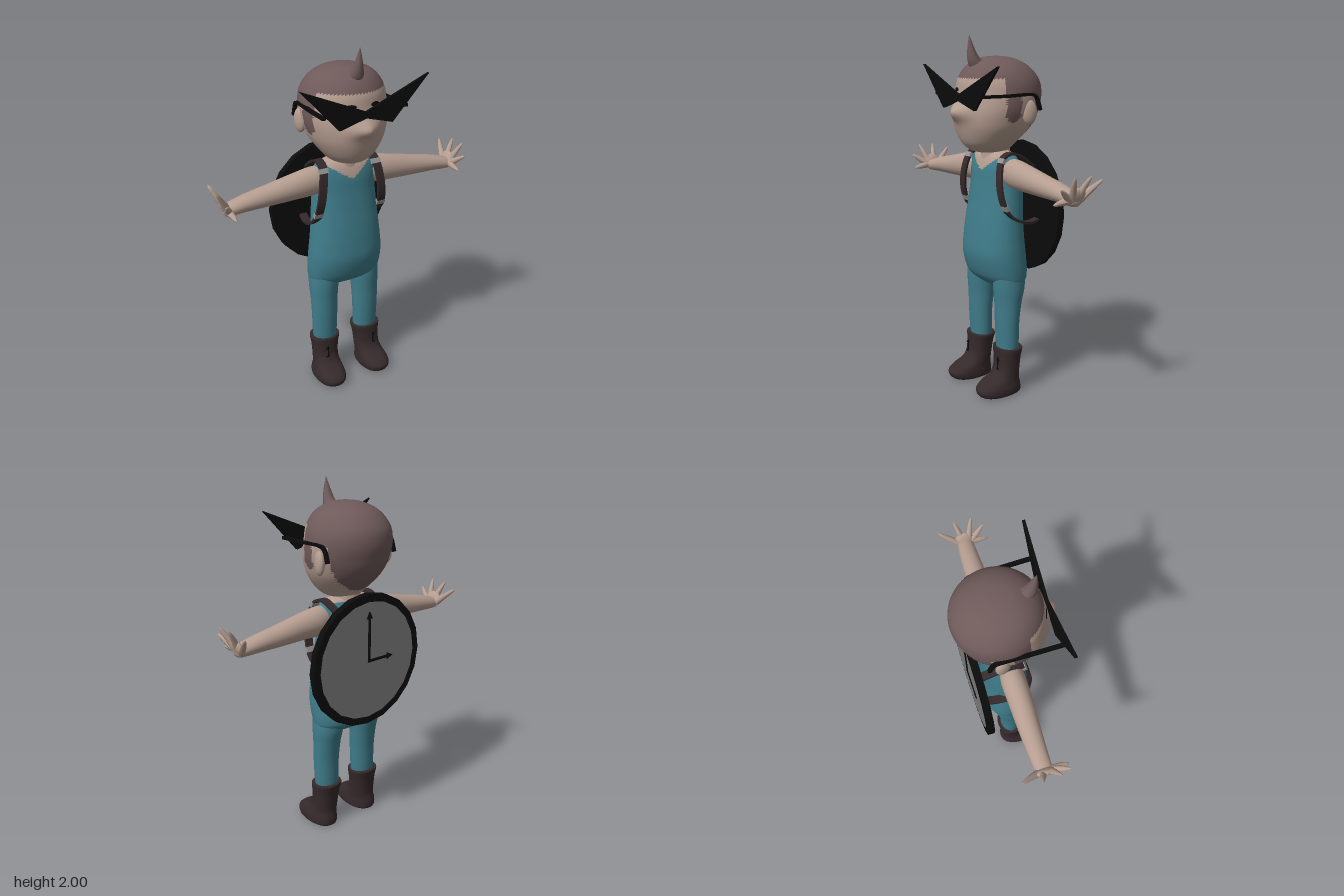
import * as THREE from 'three';

const mat = (name, color, side = THREE.FrontSide) => {
  const m = new THREE.MeshStandardMaterial({ color, side });
  m.name = name;
  return m;
};

// Catmull-Rom value of one column of a table of rows
function sample(rows, t, k) {
  const f = t * (rows.length - 1), i = Math.min(Math.floor(f), rows.length - 2), u = f - i;
  const at = (j) => rows[Math.max(0, Math.min(rows.length - 1, j))][k];
  const a = at(i - 1), b = at(i), c = at(i + 1), d = at(i + 2);
  return b + 0.5 * u * (c - a + u * (2 * a - 5 * b + 4 * c - d + u * (3 * (b - c) + d - a)));
}

// Closed skin over oval sections; rows rise in y: [y, centreX, halfWidth, zFront, zBack].
// paint(x, y, z) picks a material index for each triangle.
function loft(rows, { rings = 36, sides = 36, power = 2, warp, paint } = {}) {
  const pos = [], faces = [];
  const bend = (v) => Math.sign(v) * Math.abs(v) ** (2 / power);
  for (let i = 0; i <= rings; i++) {
    const [y, cx, hw, zf, zb] = [0, 1, 2, 3, 4].map((k) => sample(rows, i / rings, k));
    for (let j = 0; j < sides; j++) {
      const a = (j / sides) * Math.PI * 2;
      const p = [cx + hw * bend(Math.cos(a)), y, (zf + zb) / 2 + ((zf - zb) / 2) * bend(Math.sin(a))];
      if (warp) warp(p);
      pos.push(...p);
    }
  }
  const bottom = pos.length / 3, top = bottom + 1;
  for (const r of [rows[0], rows[rows.length - 1]]) pos.push(r[1], r[0], (r[3] + r[4]) / 2);
  for (let j = 0; j < sides; j++) {
    const n = (j + 1) % sides, last = rings * sides;
    faces.push([bottom, j, n], [top, last + n, last + j]);
    for (let i = 0; i < rings; i++) {
      const a = i * sides + j, b = i * sides + n;
      faces.push([a, a + sides, b], [b, a + sides, b + sides]);
    }
  }
  const buckets = [[], []];
  for (const f of faces) {
    const mid = [0, 1, 2].map((k) => (pos[f[0] * 3 + k] + pos[f[1] * 3 + k] + pos[f[2] * 3 + k]) / 3);
    buckets[paint ? paint(...mid) : 0].push(...f);
  }
  const g = new THREE.BufferGeometry();
  g.setAttribute('position', new THREE.Float32BufferAttribute(pos, 3));
  g.setIndex(buckets.flat());
  if (paint) {
    g.addGroup(0, buckets[0].length, 0);
    g.addGroup(buckets[0].length, buckets[1].length, 1);
  }
  g.computeVertexNormals();
  return g;
}

const curve = (pts) => new THREE.CatmullRomCurve3(pts.map((p) => new THREE.Vector3(...p)));

// Tube narrowing from r0 to almost nothing
function taper(pts, r0, shape = 0.7) {
  const c = curve(pts), seg = 14, rad = 10;
  const g = new THREE.TubeGeometry(c, seg, 1, rad);
  const p = g.attributes.position, v = new THREE.Vector3();
  for (let i = 0; i < p.count; i++) {
    const t = Math.floor(i / (rad + 1)) / seg, o = c.getPointAt(t);
    v.fromBufferAttribute(p, i).sub(o).multiplyScalar(r0 * Math.max(0.02, (1 - t) ** shape)).add(o);
    p.setXYZ(i, v.x, v.y, v.z);
  }
  g.computeVertexNormals();
  return g;
}

// Flat band along a path, its width lying along x
function ribbon(pts, width, thick, seg = 40) {
  const c = curve(pts), pos = [], idx = [], X = new THREE.Vector3(1, 0, 0);
  for (let i = 0; i <= seg; i++) {
    const o = c.getPointAt(i / seg), n = c.getTangentAt(i / seg).cross(X).normalize();
    for (const [a, b] of [[-1, -1], [1, -1], [1, 1], [-1, 1]]) {
      const v = o.clone().addScaledVector(X, (a * width) / 2).addScaledVector(n, (b * thick) / 2);
      pos.push(v.x, v.y, v.z);
    }
  }
  for (let i = 0; i < seg; i++) for (let k = 0; k < 4; k++) {
    const a = i * 4 + k, b = i * 4 + ((k + 1) % 4);
    idx.push(a, b, a + 4, b, b + 4, a + 4);
  }
  const e = seg * 4;
  idx.push(0, 2, 1, 0, 3, 2, e, e + 1, e + 2, e, e + 2, e + 3);
  const g = new THREE.BufferGeometry();
  g.setAttribute('position', new THREE.Float32BufferAttribute(pos, 3));
  g.setIndex(idx);
  const flat = g.toNonIndexed();
  flat.computeVertexNormals();
  return flat;
}

const plate = (pts, depth) => new THREE.ExtrudeGeometry(
  new THREE.Shape(pts.map((p) => new THREE.Vector2(...p))), { depth, bevelEnabled: false });

export function createModel() {
  const skin = mat('skin', 0xb59d90), hair = mat('hair', 0x6f5a5a), teal = mat('overalls', 0x3f7c8a);
  const leather = mat('leather', 0x35292b), black = mat('black', 0x0b0b0b);
  const grey = mat('dial grey', 0x7c7c7c), metal = mat('buckle grey', 0x969696);
  const model = new THREE.Group();
  const add = (parent, name, geo, material, x = 0, y = 0, z = 0) => {
    const m = new THREE.Mesh(geo, material);
    m.name = name;
    m.position.set(x, y, z);
    parent.add(m);
    return m;
  };

  // Head with a soft pointed nose; hair cap with sideburns is painted by faces
  const isHair = (x, y, z) => {
    if (z > 0.065) return y > 1.775 ? 1 : 0;
    if (z > -0.02) return y > 1.54 + Math.abs(z - 0.02) * 0.8 ? 1 : 0;
    if (z > -0.125) return y > 1.69 ? 1 : 0;
    return y > 1.42 ? 1 : 0;
  };
  add(model, 'head', loft([
    [1.375, 0, 0.05, 0.09, -0.03], [1.39, 0, 0.1, 0.14, -0.08], [1.43, 0, 0.145, 0.185, -0.125],
    [1.5, 0, 0.195, 0.215, -0.195], [1.56, 0, 0.22, 0.225, -0.235], [1.62, 0, 0.235, 0.22, -0.255],
    [1.69, 0, 0.237, 0.205, -0.268], [1.76, 0, 0.225, 0.195, -0.258], [1.82, 0, 0.19, 0.165, -0.215],
    [1.86, 0, 0.14, 0.12, -0.16], [1.885, 0, 0.075, 0.06, -0.09], [1.892, 0, 0.015, 0, -0.03],
  ], {
    rings: 72, sides: 72, paint: isHair,
    warp: (p) => {
      if (p[2] > 0) p[2] += 0.05 * Math.max(0, 1 - Math.abs(p[0]) / 0.12) * Math.exp(-(((p[1] - 1.6) / 0.045) ** 2));
    },
  }), [skin, hair]);
  add(model, 'hairTuft', taper([[0, 1.82, 0.085], [0, 1.865, 0.125], [0, 1.92, 0.143], [0, 2, 0.155]], 0.05, 0.9), hair);
  add(model, 'neck', new THREE.CylinderGeometry(0.075, 0.085, 0.12, 28), skin, 0, 1.385, -0.015);

  // Eyewear: one winged plate
  add(model, 'glassesFront', plate([
    [0, 1.692], [-0.37, 1.845], [-0.155, 1.615], [0, 1.658], [0.155, 1.615], [0.37, 1.845],
  ], 0.016), black, 0, 0, 0.213);

  // Torso; skin shows above the V neckline
  add(model, 'torso', loft([
    [0.61, 0, 0.16, 0.03, -0.08], [0.65, 0, 0.21, 0.085, -0.135], [0.7, 0, 0.222, 0.12, -0.155],
    [0.8, 0, 0.222, 0.145, -0.15], [0.9, 0, 0.213, 0.14, -0.14], [1, 0, 0.203, 0.127, -0.135],
    [1.1, 0, 0.195, 0.11, -0.135], [1.2, 0, 0.188, 0.095, -0.13], [1.28, 0, 0.19, 0.085, -0.115],
    [1.335, 0, 0.185, 0.07, -0.095], [1.365, 0, 0.15, 0.055, -0.08], [1.385, 0, 0.08, 0.04, -0.07],
  ], {
    rings: 90, sides: 60, power: 2.2,
    paint: (x, y, z) => ((z > 0 ? y > 1.275 + 0.65 * Math.abs(x) : y > 1.365) ? 1 : 0),
  }), [teal, skin]);

  // Everything paired is built on the model's left and mirrored
  for (const s of [1, -1]) {
    const half = new THREE.Group();
    half.name = s > 0 ? 'leftSide' : 'rightSide';
    half.scale.x = s;
    model.add(half);

    const ear = add(half, 'ear', new THREE.SphereGeometry(1, 18, 14), skin, 0.228, 1.6, -0.075);
    ear.scale.set(0.024, 0.066, 0.042);
    ear.rotation.y = -0.25;
    const eye = add(half, 'eye', new THREE.SphereGeometry(1, 14, 8), black, 0.07, 1.715, 0.19);
    eye.scale.set(0.03, 0.012, 0.005);
    eye.rotation.y = 0.3;
    add(half, 'glassesArm', ribbon([
      [0.24, 1.69, 0.222], [0.238, 1.69, 0.08], [0.234, 1.69, -0.1], [0.23, 1.672, -0.122], [0.23, 1.61, -0.145],
    ], 0.02, 0.016), black);

    // Arm runs along x; the section's width stands upright
    const arm = add(half, 'arm', loft([
      [0.13, -1.277, 0.07, 0.05, -0.065], [0.2, -1.27, 0.08, 0.055, -0.078], [0.3, -1.26, 0.073, 0.055, -0.075],
      [0.45, -1.242, 0.059, 0.048, -0.07], [0.58, -1.228, 0.047, 0.042, -0.063], [0.66, -1.216, 0.038, 0.04, -0.055],
      [0.7, -1.21, 0.03, 0.035, -0.045], [0.715, -1.212, 0.012, 0.015, -0.02],
    ]), skin);
    arm.rotation.z = -Math.PI / 2;
    const palm = add(half, 'palm', new THREE.SphereGeometry(1, 18, 14), skin, 0.7, 1.228, -0.008);
    palm.scale.set(0.022, 0.05, 0.056);
    palm.rotation.z = -0.35;
    const tips = [[0.69, 1.2, 0.128], [0.735, 1.28, 0.118], [0.762, 1.338, 0.055], [0.765, 1.338, -0.045], [0.738, 1.31, -0.145]];
    for (const [x, y, z] of tips) {
      add(half, 'finger', taper([
        [0.695, 1.215, z * 0.25], [0.69 + (x - 0.69) * 0.5, 1.215 + (y - 1.215) * 0.5, z * 0.62], [x, y, z],
      ], 0.021, 0.45), skin);
    }

    // Leg and boot
    add(half, 'leg', loft([
      [0.22, 0.136, 0.07, 0.055, -0.06], [0.3, 0.137, 0.075, 0.06, -0.063], [0.42, 0.137, 0.078, 0.066, -0.066],
      [0.53, 0.136, 0.081, 0.07, -0.082], [0.62, 0.134, 0.086, 0.078, -0.105], [0.7, 0.13, 0.085, 0.08, -0.11],
    ]), teal);
    add(half, 'boot', loft([
      [0, 0.15, 0.075, 0.18, -0.066], [0.012, 0.151, 0.085, 0.198, -0.07], [0.045, 0.151, 0.086, 0.208, -0.068],
      [0.075, 0.148, 0.08, 0.175, -0.062], [0.105, 0.145, 0.076, 0.11, -0.06], [0.15, 0.143, 0.076, 0.08, -0.063],
      [0.21, 0.141, 0.08, 0.074, -0.07], [0.255, 0.139, 0.088, 0.074, -0.08], [0.268, 0.139, 0.087, 0.073, -0.079],
    ], { power: 2.3 }), leather);
    add(half, 'bootSeam', new THREE.BoxGeometry(0.006, 0.09, 0.008), black, 0.155, 0.175, 0.077);
    for (const y of [0.15, 0.205]) add(half, 'bootLace', new THREE.BoxGeometry(0.022, 0.006, 0.008), black, 0.158, y, 0.077);

    // Shoulder strap with two buckles
    add(half, 'strap', ribbon([
      [0.14, 1.29, -0.17], [0.15, 1.35, -0.085], [0.155, 1.378, -0.01], [0.16, 1.355, 0.05], [0.178, 1.25, 0.083],
      [0.193, 1.13, 0.075], [0.2, 1.05, 0.035], [0.2, 1.005, -0.04], [0.19, 0.99, -0.11], [0.18, 1, -0.175],
    ], 0.046, 0.014), leather);
    const upper = add(half, 'buckle', new THREE.BoxGeometry(0.052, 0.028, 0.02), metal, 0.162, 1.342, 0.057);
    upper.rotation.x = -0.45;
    const lower = add(half, 'buckle', new THREE.BoxGeometry(0.052, 0.03, 0.02), metal, 0.197, 1.09, 0.058);
    lower.rotation.x = 0.4;
  }

  // Clock worn on the back, its dial facing backwards
  const clock = new THREE.Group();
  clock.name = 'backClock';
  clock.position.set(0, 1.05, -0.188);
  clock.rotation.y = Math.PI;
  model.add(clock);
  add(clock, 'clockCase', new THREE.CylinderGeometry(0.375, 0.375, 0.038, 20), black).rotation.x = Math.PI / 2;
  add(clock, 'clockDial', new THREE.CircleGeometry(0.333, 20), grey, 0, 0, 0.0205).rotation.z = Math.PI / 2;
  const hand = (len) => plate([
    [-0.007, -0.008], [0.007, -0.008], [0.007, len - 0.04], [0.02, len - 0.04], [0, len], [-0.02, len - 0.04], [-0.007, len - 0.04],
  ], 0.006);
  add(clock, 'minuteHand', hand(0.28), black, 0, 0, 0.0205);
  add(clock, 'hourHand', hand(0.17), black, 0, 0, 0.0205).rotation.z = -Math.PI / 2;

  return model;
}
